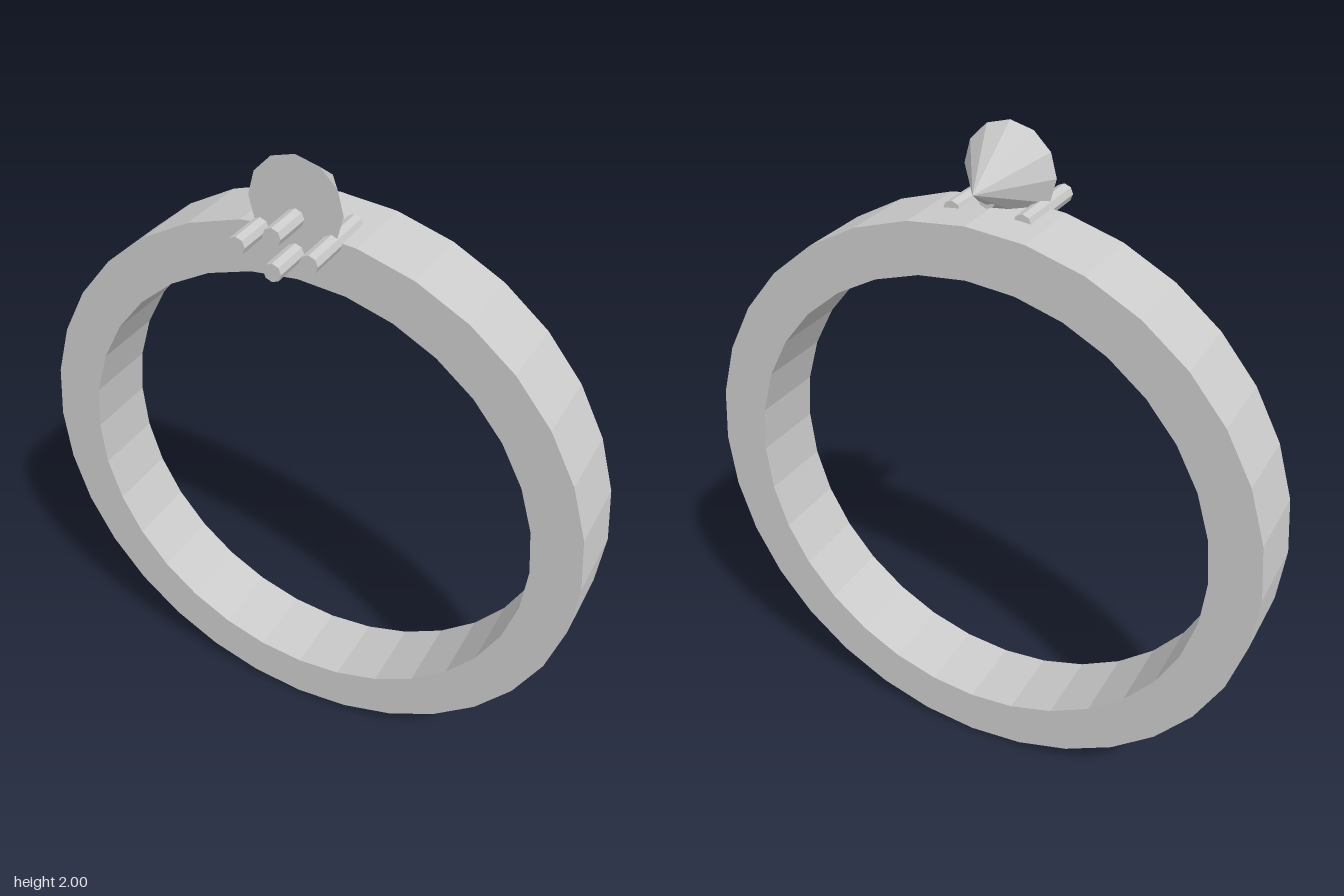
import * as THREE from 'three';

export function createModel() {
  const model = new THREE.Group();
  const material = new THREE.MeshStandardMaterial({ color: 0xcccccc, flatShading: true });

  const add = (name, geometry, x, y, z) => {
    const mesh = new THREE.Mesh(geometry, material);
    mesh.name = name;
    mesh.position.set(x, y, z);
    model.add(mesh);
  };

  // Band: rectangular section turned around the z axis
  const outer = 0.896, inner = 0.744, back = -0.19, front = 0.055;
  const section = [
    [inner, back], [outer, back], [outer, front], [inner, front], [inner, back],
  ].map(([r, z]) => new THREE.Vector2(r, z));
  add('band', new THREE.LatheGeometry(section, 32).rotateX(Math.PI / 2), 0, outer, 0);

  // Gem: twelve-sided cone, flat face forward and point to the back
  const gemFront = 0.065, gemDepth = 0.21;
  const gem = new THREE.ConeGeometry(0.14, gemDepth, 12).rotateX(-Math.PI / 2);
  add('gem', gem, 0, 1.86, gemFront - gemDepth / 2);

  // Prongs: four short pins running front to back below the gem
  const prong = new THREE.CylinderGeometry(0.027, 0.027, 0.26, 8).rotateX(Math.PI / 2);
  const prongs = {
    leftProng: [0.106, 1.775],
    rightProng: [-0.106, 1.775],
    upperProng: [0, 1.825],
    lowerProng: [0, 1.725],
  };
  for (const [name, [x, y]] of Object.entries(prongs)) add(name, prong, x, y, 0.06);

  return model;
}
